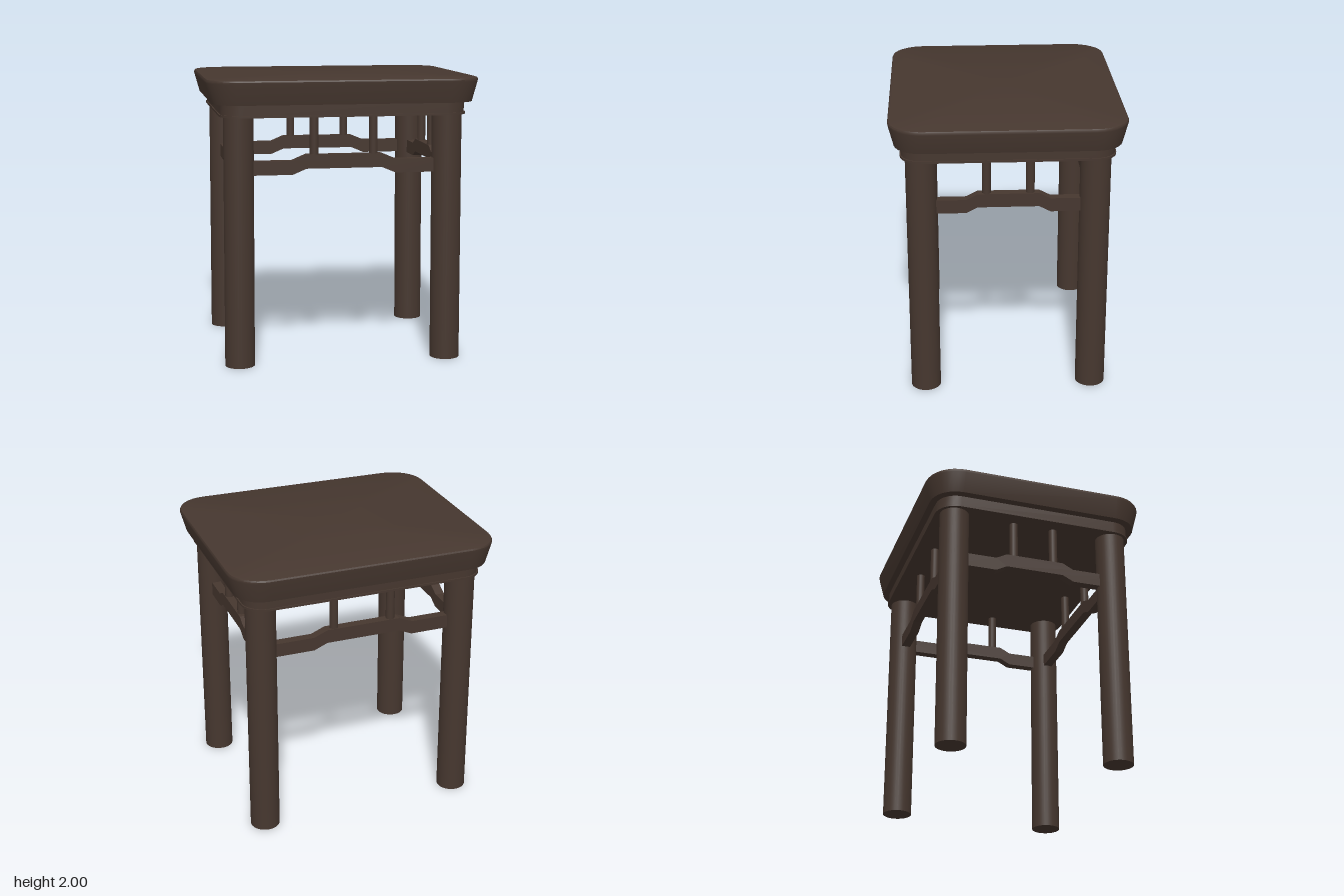
import * as THREE from 'three';
import { toCreasedNormals } from 'three/addons/utils/BufferGeometryUtils.js';

const wood = new THREE.MeshStandardMaterial({ color: 0x46372f });
wood.name = 'darkWood';

// Rounded-rectangle slab lofted through [y, halfX, halfZ, cornerRadius] sections, closed at both ends
function slab(sections) {
  const steps = 8, n = 4 * (steps + 1), pos = [], idx = [];
  for (const [y, hx, hz, r] of sections) {
    for (let c = 0; c < 4; c++) {
      const sx = c === 0 || c === 3 ? 1 : -1, sz = c < 2 ? 1 : -1;
      for (let i = 0; i <= steps; i++) {
        const a = (c + i / steps) * Math.PI / 2;
        pos.push(sx * (hx - r) + r * Math.cos(a), y, sz * (hz - r) + r * Math.sin(a));
      }
    }
  }
  for (let s = 0; s < sections.length - 1; s++) {
    for (let i = 0; i < n; i++) {
      const a = s * n + i, b = s * n + (i + 1) % n;
      idx.push(a, a + n, b, b, a + n, b + n);
    }
  }
  const last = (sections.length - 1) * n, centre = pos.length / 3;
  pos.push(0, sections[0][0], 0, 0, sections[sections.length - 1][0], 0);
  for (let i = 0; i < n; i++) {
    const j = (i + 1) % n;
    idx.push(centre, i, j, centre + 1, last + j, last + i);
  }
  const g = new THREE.BufferGeometry();
  g.setAttribute('position', new THREE.Float32BufferAttribute(pos, 3));
  g.setIndex(idx);
  return toCreasedNormals(g, 0.6);
}

// Rail with a raised middle, running along x
function railGeometry(half, outer, inner, depth) {
  const top = [[-half, 1.435], [-outer, 1.435], [-inner, 1.475], [inner, 1.475], [outer, 1.435], [half, 1.435]];
  const bottom = top.map(([x, y]) => [x, y - 0.096]).reverse();
  const shape = new THREE.Shape([...bottom, ...top].map(([x, y]) => new THREE.Vector2(x, y)));
  return new THREE.ExtrudeGeometry(shape, { depth, bevelEnabled: false }).translate(0, 0, -depth / 2);
}

export function createModel() {
  const model = new THREE.Group();
  model.name = 'stool';
  const add = (parent, name, geometry, x = 0, y = 0, z = 0) => {
    const mesh = new THREE.Mesh(geometry, wood);
    mesh.name = name;
    mesh.position.set(x, y, z);
    parent.add(mesh);
    return mesh;
  };

  // Flared seat with a softened upper edge
  add(model, 'seat', slab([
    [1.83, 0.905, 0.762, 0.19],
    [1.972, 0.945, 0.798, 0.23],
    [1.985, 0.945, 0.799, 0.23],
    [1.995, 0.94, 0.793, 0.225],
    [2.0, 0.925, 0.778, 0.21],
  ]));

  // Recessed apron with a thin lip along its lower edge
  add(model, 'apron', slab([
    [1.742, 0.858, 0.724, 0.15],
    [1.757, 0.858, 0.724, 0.15],
    [1.757, 0.85, 0.716, 0.145],
    [1.835, 0.85, 0.716, 0.145],
  ]));

  // Slightly splayed round legs
  const legX = 0.728, legZ = 0.587;
  for (const sx of [1, -1]) {
    for (const sz of [1, -1]) {
      const leg = new THREE.CylinderGeometry(0.104, 0.104, 1.75, 32);
      const p = leg.attributes.position;
      for (let i = 0; i < p.count; i++) {
        if (p.getY(i) < 0) p.setX(i, p.getX(i) + sx * 0.007);
      }
      add(model, (sz > 0 ? 'front' : 'back') + (sx > 0 ? 'Left' : 'Right') + 'Leg', leg, sx * legX, 0.875, sz * legZ);
    }
  }

  // Humped rails and their pairs of short struts, one set per side
  const sides = [
    ['front', 0, legZ, legX, 0.36, 0.265, 0.208],
    ['back', Math.PI, legZ, legX, 0.36, 0.265, 0.208],
    ['left', Math.PI / 2, legX, legZ, 0.285, 0.208, 0.148],
    ['right', -Math.PI / 2, legX, legZ, 0.285, 0.208, 0.148],
  ];
  for (const [name, turn, offset, half, outer, inner, strutX] of sides) {
    const side = new THREE.Group();
    side.name = name + 'Stretcher';
    side.rotation.y = turn;
    add(side, name + 'Rail', railGeometry(half, outer, inner, 0.065), 0, 0, offset);
    for (const s of [1, -1]) {
      add(side, name + 'Strut', new THREE.CylinderGeometry(0.03, 0.03, 0.3, 16), s * strutX, 1.605, offset);
    }
    model.add(side);
  }
  return model;
}
